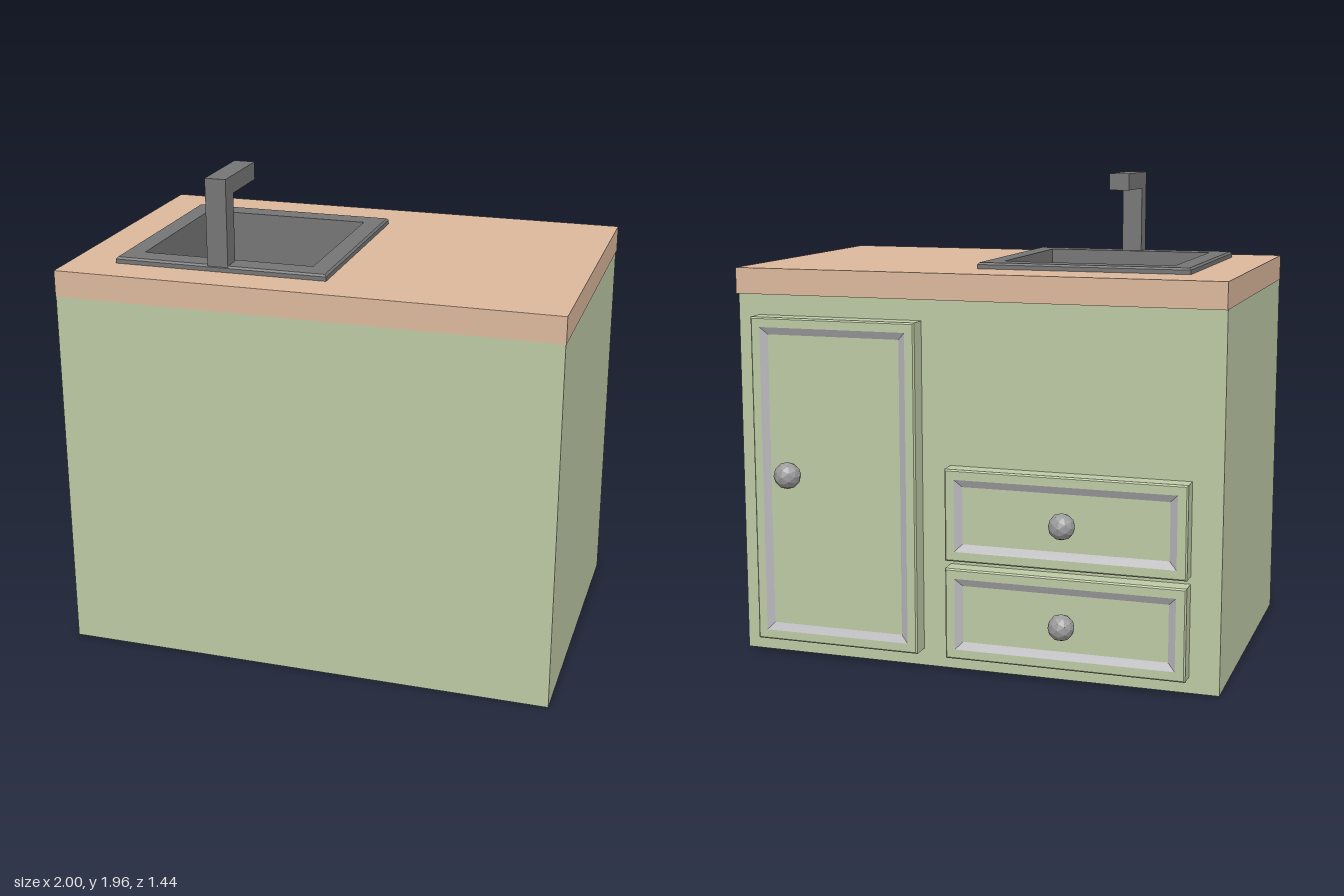
import * as THREE from 'three';

const paint = (color) => new THREE.MeshStandardMaterial({ color, flatShading: true });
const GREEN = paint(0xbdcaa5);
const WOOD = paint(0xdcb89c);
const STEEL = paint(0x757575);
const TRIM = paint(0xb8b8bc);
const KNOB = paint(0x9c9c9c);

function mesh(name, geometry, material, x = 0, y = 0, z = 0) {
  const m = new THREE.Mesh(geometry, material);
  m.name = name;
  m.position.set(x, y, z);
  return m;
}

// Skin over a run of rectangles [width, height, z], optionally capped at the last one
function rectLoft(levels, cap = false) {
  const loops = levels.map(([w, h, z]) =>
    [[-1, -1], [1, -1], [1, 1], [-1, 1]].map(([sx, sy]) => [sx * w / 2, sy * h / 2, z]));
  const pos = [];
  const quad = (a, b, c, d) => pos.push(...a, ...b, ...c, ...a, ...c, ...d);
  for (let k = 0; k < loops.length - 1; k++) {
    for (let i = 0; i < 4; i++) {
      const j = (i + 1) % 4;
      quad(loops[k][i], loops[k][j], loops[k + 1][j], loops[k + 1][i]);
    }
  }
  if (cap) quad(...loops[loops.length - 1]);
  const g = new THREE.BufferGeometry();
  g.setAttribute('position', new THREE.Float32BufferAttribute(pos, 3));
  g.computeVertexNormals();
  return g;
}

// Framed door or drawer front with a sloped grey moulding, facing -z
function frontPanel(name, x, y, w, h, depth, knobX, knobY, knobR) {
  const g = new THREE.Group();
  g.name = name;
  const a = 0.08, b = 0.14, low = depth - 0.015; // moulding insets and recessed level
  const frame = rectLoft([[w, h, 0], [w, h, depth - 0.006], [w - 0.012, h - 0.012, depth],
    [w - a, h - a, depth]]);
  const moulding = rectLoft([[w - a, h - a, depth], [w - b, h - b, low]]);
  const centre = rectLoft([[w - b, h - b, low]], true);
  g.add(mesh('frame', frame, GREEN), mesh('moulding', moulding, TRIM), mesh('centrePanel', centre, GREEN));
  g.add(mesh('knob', new THREE.IcosahedronGeometry(knobR, 1), KNOB, x - knobX, knobY - y, depth + 0.036));
  g.rotation.y = Math.PI;
  g.position.set(x, y, -0.545);
  return g;
}

export function createModel() {
  const model = new THREE.Group();
  model.name = 'sinkCabinet';

  // Cabinet body, open at the top so the basin can sink into it
  const body = new THREE.BoxGeometry(1.996, 1.49, 1.265);
  const index = Array.from(body.index.array);
  index.splice(12, 6);
  body.setIndex(index);
  model.add(mesh('cabinet', body, GREEN, 0, 0.745, 0.0875));

  // Countertop with a cut-out for the basin
  const top = new THREE.Shape([[-1, -0.72], [1, -0.72], [1, 0.565], [-1, 0.565]]
    .map((p) => new THREE.Vector2(...p)));
  top.holes.push(new THREE.Path([[-0.735, -0.465], [-0.735, 0.235], [-0.025, 0.235], [-0.025, -0.465]]
    .map((p) => new THREE.Vector2(...p))));
  const slab = new THREE.ExtrudeGeometry(top, { depth: 0.105, bevelEnabled: false });
  slab.rotateX(-Math.PI / 2);
  model.add(mesh('countertop', slab, WOOD, 0, 1.49, 0));

  // Sink: rim, walls and floor in one skin
  const sink = rectLoft([[0.865, 0.885, 0], [0.865, 0.885, 0.018], [0.85, 0.87, 0.026],
    [0.70, 0.69, 0.026], [0.70, 0.69, -0.2]], true);
  sink.rotateX(-Math.PI / 2);
  model.add(mesh('sink', sink, STEEL, -0.38, 1.594, 0.114));

  // Tap: a bent square bar reaching over the basin
  const bar = new THREE.Shape([[-0.555, 1.615], [-0.475, 1.615], [-0.475, 1.89],
    [-0.235, 1.89], [-0.235, 1.96], [-0.555, 1.96]].map((p) => new THREE.Vector2(...p)));
  const tap = new THREE.ExtrudeGeometry(bar, { depth: 0.084, bevelEnabled: false });
  tap.rotateY(Math.PI / 2);
  model.add(mesh('tap', tap, STEEL, -0.428, 0, 0));

  // Door and two drawers
  model.add(frontPanel('door', 0.56, 0.738, 0.70, 1.335, 0.082, 0.745, 0.775, 0.055));
  [['lowerDrawer', 0.25], ['upperDrawer', 0.65]].forEach(([name, y]) =>
    model.add(frontPanel(name, -0.393, y, 0.97, 0.37, 0.075, -0.397, y, 0.053)));

  return model;
}
